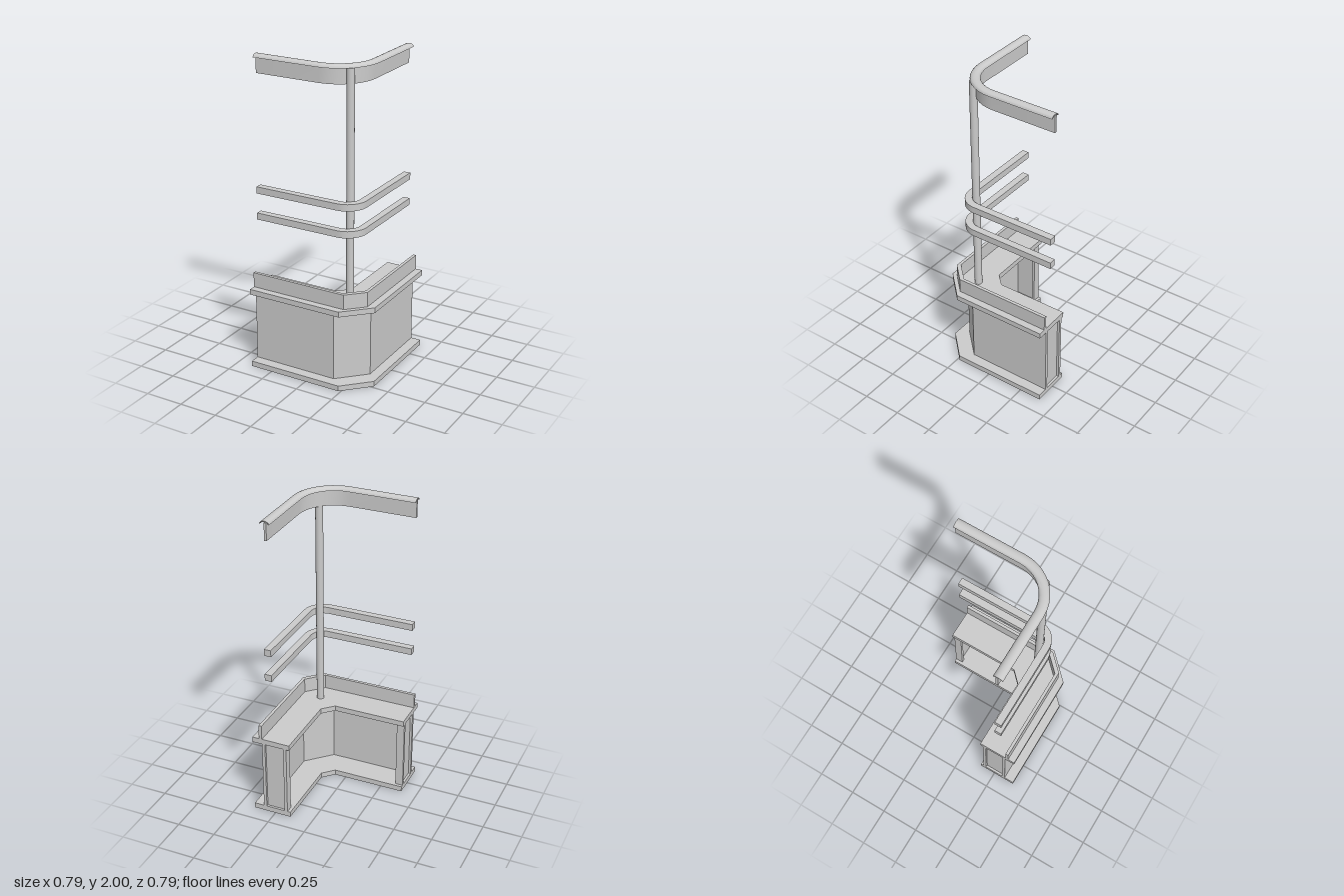
import * as THREE from 'three';
import { toCreasedNormals } from 'three/addons/utils/BufferGeometryUtils.js';

const END = -0.395; // where both legs of the corner stop
const material = new THREE.MeshStandardMaterial({ color: 0xcccccc, side: THREE.DoubleSide });

// L-shaped slab with chamfered corners; each edge is [distance, chamfer start]
function cornerSlab([outer, outerCut], [inner, innerCut], y0, y1) {
  const shape = new THREE.Shape([
    [END, outer], [outerCut, outer], [outer, outerCut], [outer, END],
    [inner, END], [inner, innerCut], [innerCut, inner], [END, inner],
  ].map(([x, z]) => new THREE.Vector2(x, z)));
  const geometry = new THREE.ExtrudeGeometry(shape, { depth: y1 - y0, bevelEnabled: false });
  return geometry.rotateX(Math.PI / 2).translate(0, y1, 0);
}

// Sweeps a closed counterclockwise profile of [distance, height] round a curved corner
function cornerSweep(profile, centre, segments) {
  const stations = [(d) => [END, d]];
  for (let i = 0; i <= segments; i++) {
    const a = (Math.PI / 2) * (1 - i / segments);
    stations.push((d) => [centre + (d - centre) * Math.cos(a), centre + (d - centre) * Math.sin(a)]);
  }
  stations.push((d) => [d, END]);

  const n = profile.length;
  const positions = [];
  const index = [];
  for (const station of stations) {
    for (const [d, y] of profile) {
      const [x, z] = station(d);
      positions.push(x, y, z);
    }
  }
  for (let i = 0; i < stations.length - 1; i++) {
    for (let j = 0; j < n; j++) {
      const k = (j + 1) % n;
      const a = i * n + j, b = a + n, c = (i + 1) * n + k, e = i * n + k;
      index.push(a, b, c, a, c, e);
    }
  }
  // End caps
  const last = (stations.length - 1) * n;
  const faces = THREE.ShapeUtils.triangulateShape(profile.map(([d, y]) => new THREE.Vector2(d, y)), []);
  for (const [a, b, c] of faces) index.push(a, b, c, last + a, last + c, last + b);

  const geometry = new THREE.BufferGeometry();
  geometry.setAttribute('position', new THREE.Float32BufferAttribute(positions, 3));
  geometry.setIndex(index);
  return toCreasedNormals(geometry, 0.6);
}

const rectangle = (d0, d1, y0, y1) => [[d0, y0], [d1, y0], [d1, y1], [d0, y1]];

export function createModel() {
  const model = new THREE.Group();
  const add = (name, geometry) => {
    const mesh = new THREE.Mesh(geometry, material);
    mesh.name = name;
    model.add(mesh);
  };

  // Parapet: base plate, thin wall, ledge and curb
  add('basePlate', cornerSlab([0.395, 0.235], [0.145, 0.075], 0, 0.035));
  add('wall', cornerSlab([0.33, 0.165], [0.31, 0.157], 0.035, 0.5));
  add('ledge', cornerSlab([0.395, 0.235], [0.145, 0.075], 0.5, 0.535));
  add('curb', cornerSlab([0.35, 0.245], [0.33, 0.227], 0.535, 0.63));

  // T-shaped stiffeners inside both open ends: [d0, d1, offset from end, width]
  const stiffener = [[0.185, 0.31, 0.015, 0.02], [0.165, 0.185, 0, 0.05]];
  for (const [d0, d1, offset, width] of stiffener) {
    const d = (d0 + d1) / 2, along = END + offset + width / 2;
    add('frontLegStiffener', new THREE.BoxGeometry(width, 0.465, d1 - d0).translate(along, 0.2675, d));
    add('sideLegStiffener', new THREE.BoxGeometry(d1 - d0, 0.465, width).translate(d, 0.2675, along));
  }

  // Corner pole
  add('pole', new THREE.CylinderGeometry(0.024, 0.024, 1.445, 20).translate(0.208, 1.2575, 0.208));

  // Two square rails bending round the pole
  for (const y of [0.965, 1.135]) {
    add('rail', cornerSweep(rectangle(0.25, 0.295, y, y + 0.043), 0.165, 12));
  }

  // Top band with an arched cap
  add('topBand', cornerSweep(rectangle(0.255, 0.27, 1.88, 1.99), 0.03, 10));
  const cap = [];
  const steps = 8;
  for (let i = 0; i <= steps; i++) {
    const a = (Math.PI * i) / steps;
    cap.push([0.268 + 0.031 * Math.cos(a), 1.98 + 0.02 * Math.sin(a)]);
  }
  for (let i = steps; i >= 0; i--) {
    const a = (Math.PI * i) / steps;
    cap.push([0.268 + 0.026 * Math.cos(a), 1.98 + 0.014 * Math.sin(a)]);
  }
  add('topCap', cornerSweep(cap, 0.03, 10));

  return model;
}
